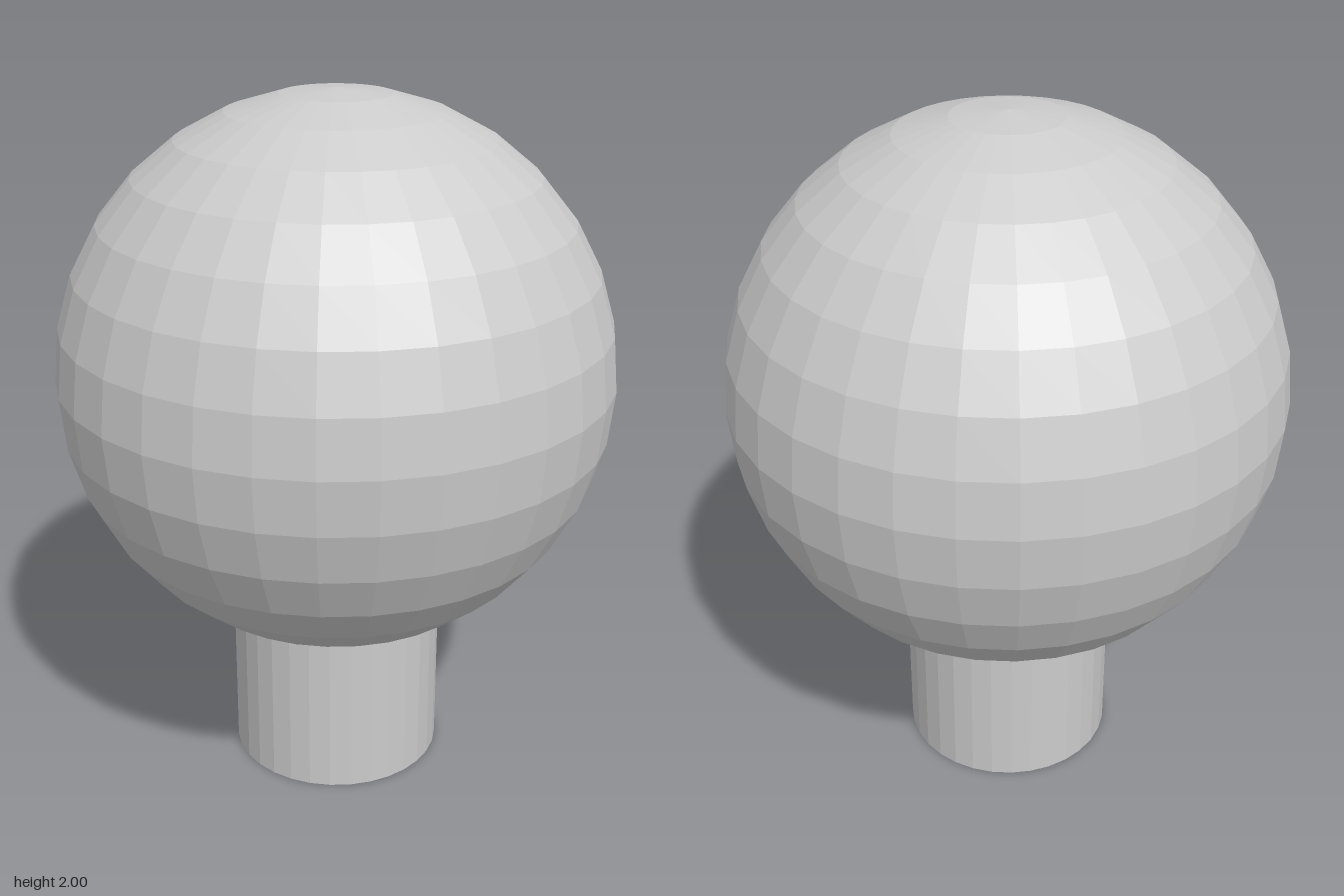
import * as THREE from 'three';

export function createModel() {
  const group = new THREE.Group();
  const material = new THREE.MeshStandardMaterial({ color: 0xcccccc, flatShading: true });
  const sides = 32;
  const radius = 0.79;

  const add = (name, geometry, y) => {
    const mesh = new THREE.Mesh(geometry, material);
    mesh.name = name;
    mesh.position.y = y;
    group.add(mesh);
  };

  // Faceted round globe, its top at y = 2
  add('globe', new THREE.SphereGeometry(radius, sides, 16), 2 - radius);

  // Neck with a closed base, running slightly into the globe
  const neckHeight = 0.49;
  add('neck', new THREE.CylinderGeometry(0.31, 0.31, neckHeight, sides), neckHeight / 2);

  return group;
}
